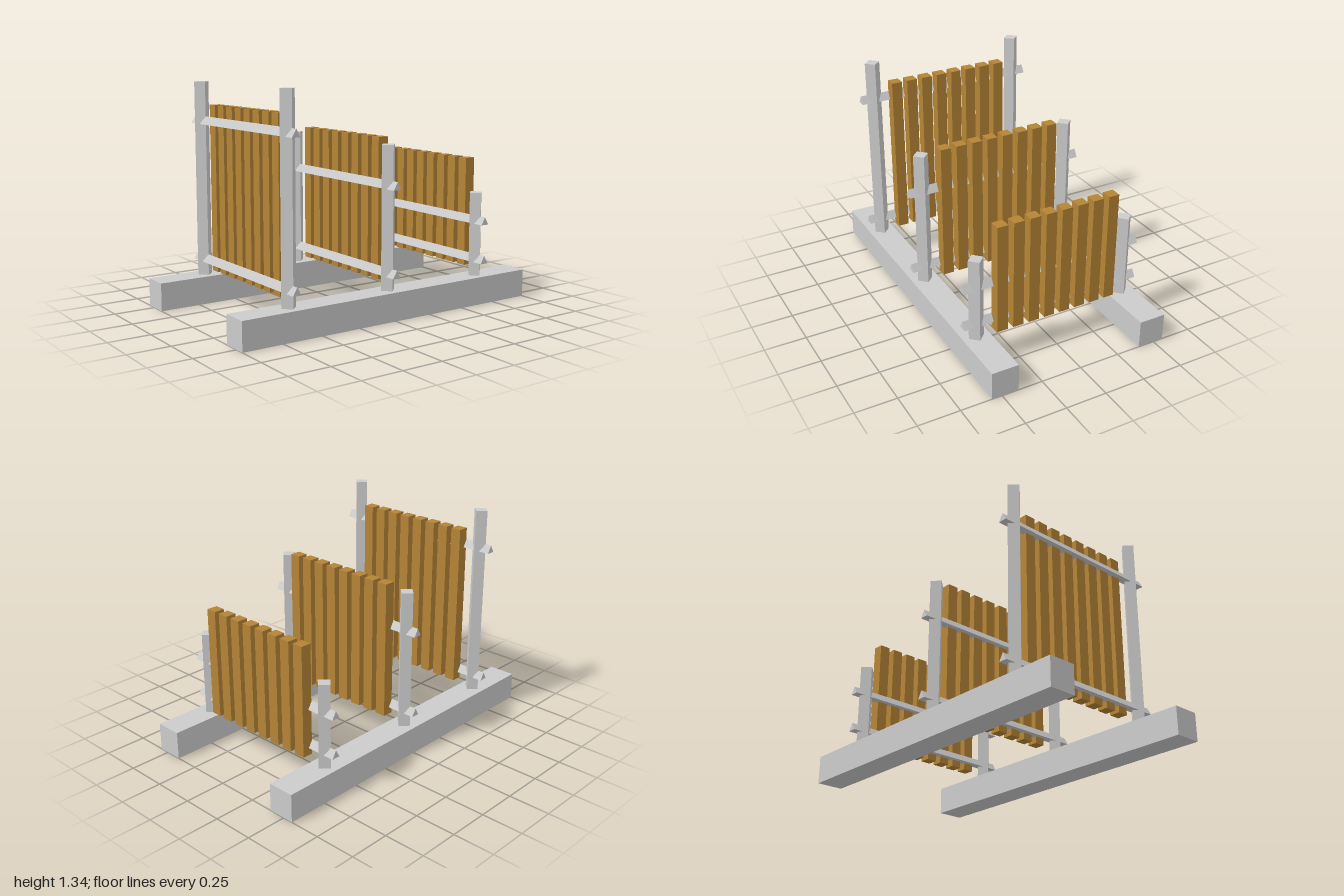
import * as THREE from 'three';

const grey = new THREE.MeshStandardMaterial({ color: 0xcccccc, flatShading: true });
const wood = new THREE.MeshStandardMaterial({ color: 0xb58436, flatShading: true });

function add(parent, name, geometry, material, x, y, z) {
  const mesh = new THREE.Mesh(geometry, material);
  mesh.name = name;
  mesh.position.set(x, y, z);
  parent.add(mesh);
}

const BASE_HEIGHT = 0.168;
const POST_Z = 0.48;
const SLAT_BOTTOM = 0.207;
const SLAT_SIZE = 0.066;
const SLAT_COUNT = 8;
const SLAT_PITCH = 0.1005;

// One fence: two diamond posts, two triangular rails and a row of slats
function createFence({ x, postTop, railTop, slatTop }) {
  const fence = new THREE.Group();
  fence.name = 'fence';
  fence.position.x = x;

  const postHeight = postTop - BASE_HEIGHT;
  const post = new THREE.CylinderGeometry(0.047, 0.047, postHeight, 4);
  for (const side of [1, -1]) {
    add(fence, 'post', post, grey, 0, BASE_HEIGHT + postHeight / 2, side * POST_Z);
  }

  // Rails run along z with one edge on top
  const rail = new THREE.CylinderGeometry(0.031, 0.031, 1.132, 3).rotateX(-Math.PI / 2);
  for (const y of [0.265, railTop]) add(fence, 'rail', rail, grey, 0, y, 0);

  const slatHeight = slatTop - SLAT_BOTTOM;
  const slat = new THREE.BoxGeometry(SLAT_SIZE, slatHeight, SLAT_SIZE);
  for (let i = 0; i < SLAT_COUNT; i++) {
    const z = (i - (SLAT_COUNT - 1) / 2) * SLAT_PITCH;
    add(fence, 'slat', slat, wood, 0.036, SLAT_BOTTOM + slatHeight / 2, z);
  }
  return fence;
}

export function createModel() {
  const model = new THREE.Group();
  model.name = 'steppedFences';

  // Long base beams
  const beam = new THREE.BoxGeometry(2, BASE_HEIGHT, 0.164);
  for (const side of [1, -1]) {
    add(model, 'baseBeam', beam, grey, 0, BASE_HEIGHT / 2, side * POST_Z);
  }

  // Fences stepping down towards +x
  const fences = [
    { x: -0.667, postTop: 1.338, railTop: 1.102, slatTop: 1.205 },
    { x: 0, postTop: 1.005, railTop: 0.77, slatTop: 1.038 },
    { x: 0.667, postTop: 0.675, railTop: 0.502, slatTop: 0.872 },
  ];
  for (const spec of fences) model.add(createFence(spec));
  return model;
}
